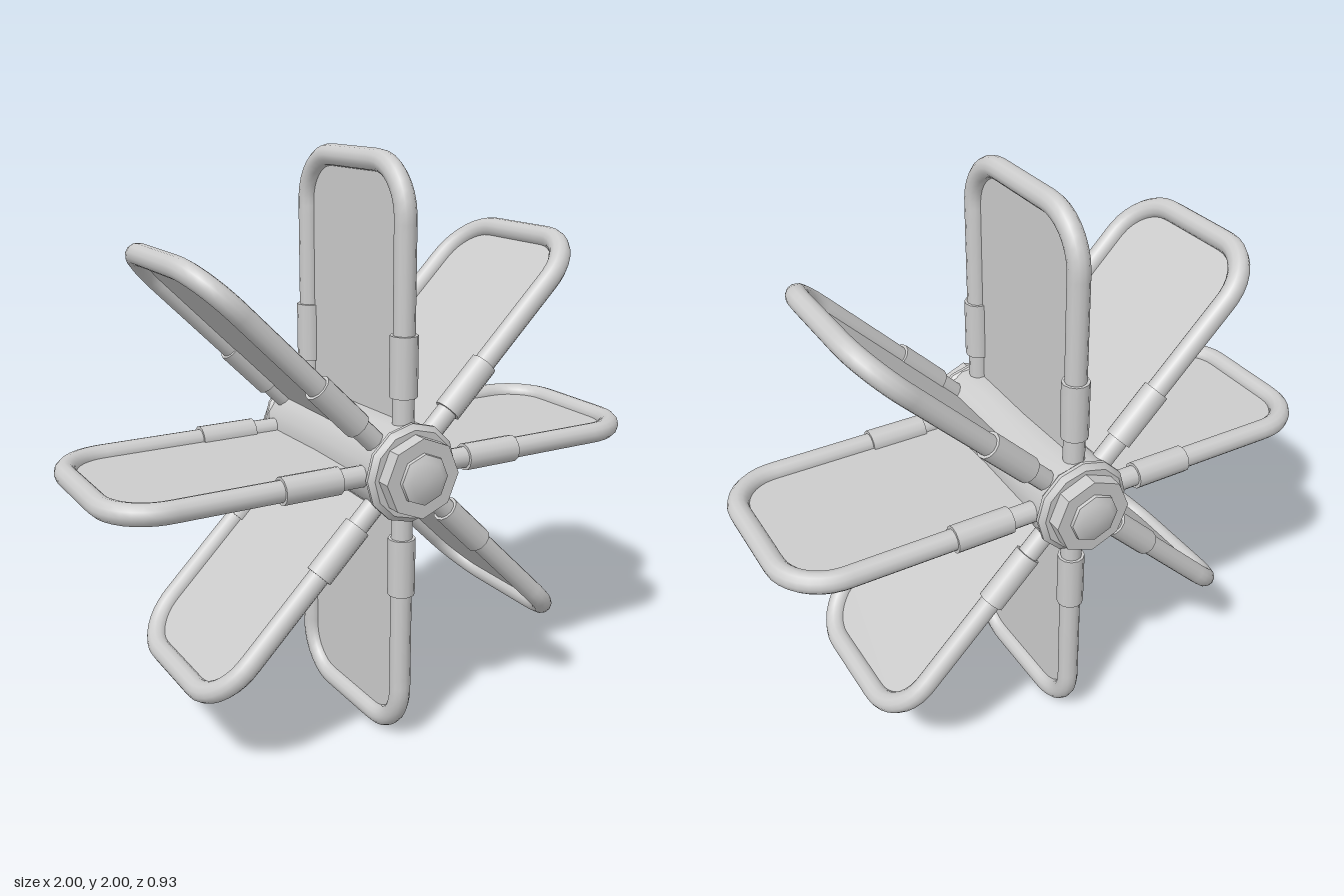
import * as THREE from 'three';
import { toCreasedNormals } from 'three/addons/utils/BufferGeometryUtils.js';

const material = new THREE.MeshStandardMaterial({ color: 0xcccccc });
const thinMaterial = new THREE.MeshStandardMaterial({ color: 0xcccccc, side: THREE.DoubleSide });

const HALF = 0.313;   // axial position of the frame rails
const TIP = 0.964;    // radial position of the outer rail
const ROOT = 0.12;    // where the rails enter the drum
const CORNER = 0.165;

function part(name, geometry, mat = material) {
  const mesh = new THREE.Mesh(geometry, mat);
  mesh.name = name;
  return mesh;
}

// Turned shape along z from [radius, z] pairs
function turned(points, sides, crease) {
  const g = new THREE.LatheGeometry(points.map(([r, z]) => new THREE.Vector2(r, z)), sides);
  g.rotateX(Math.PI / 2);
  return toCreasedNormals(g, crease);
}

// U-shaped outline in the radial (x) and axial (y) plane
function outline() {
  const s = new THREE.Shape();
  const k = CORNER * 0.45;
  s.moveTo(ROOT, -HALF);
  s.lineTo(TIP - CORNER, -HALF);
  s.bezierCurveTo(TIP - k, -HALF, TIP, -HALF + k, TIP, -HALF + CORNER);
  s.lineTo(TIP, HALF - CORNER);
  s.bezierCurveTo(TIP, HALF - k, TIP - k, HALF, TIP - CORNER, HALF);
  s.lineTo(ROOT, HALF);
  return s;
}

function createPaddle() {
  const paddle = new THREE.Group();

  // Bent tube around the blade
  const rail = new THREE.CatmullRomCurve3(
    outline().getSpacedPoints(60).map((p) => new THREE.Vector3(p.x, 0, p.y)));
  paddle.add(part('frameTube', new THREE.TubeGeometry(rail, 72, 0.036, 12)));

  // Thin blade filling the frame
  const blade = new THREE.ShapeGeometry(outline(), 8);
  blade.rotateX(Math.PI / 2);
  paddle.add(part('blade', blade, thinMaterial));

  // Sleeves clamped on both rails
  for (const side of [-1, 1]) {
    const g = new THREE.CylinderGeometry(0.046, 0.046, 0.2, 12);
    g.rotateZ(Math.PI / 2);
    const sleeve = part('sleeve', g);
    sleeve.position.set(0.34, 0, side * HALF);
    paddle.add(sleeve);
  }
  return paddle;
}

export function createModel() {
  const model = new THREE.Group();
  model.name = 'paddleWheel';
  const wheel = new THREE.Group();
  wheel.name = 'wheel';
  wheel.position.y = 1;
  model.add(wheel);

  // Slightly waisted drum
  wheel.add(part('drum', turned(
    [[0, -0.36], [0.158, -0.36], [0.155, -0.2], [0.15, 0], [0.155, 0.2], [0.158, 0.36], [0, 0.36]],
    20, 0.7)));

  // End flange, octagonal nut and domed cap, mirrored front and back
  for (const back of [0, 1]) {
    const end = new THREE.Group();
    end.name = back ? 'backEnd' : 'frontEnd';
    end.rotation.y = back * Math.PI;
    end.add(part('flange', turned([[0, 0.345], [0.155, 0.345], [0.166, 0.358], [0.166, 0.37], [0.148, 0.386], [0, 0.386]], 12, 0.6)));
    end.add(part('nut', turned([[0, 0.38], [0.134, 0.38], [0.134, 0.437], [0, 0.437]], 8, 0.5)));
    end.add(part('cap', turned([[0.088, 0.43], [0.085, 0.448], [0.06, 0.46], [0, 0.466]], 8, 0.9)));
    wheel.add(end);
  }

  // Eight paddles around the axle
  for (let i = 0; i < 8; i++) {
    const paddle = createPaddle();
    paddle.name = 'paddle' + (i + 1);
    paddle.rotation.z = i * Math.PI / 4;
    wheel.add(paddle);
  }
  return model;
}
